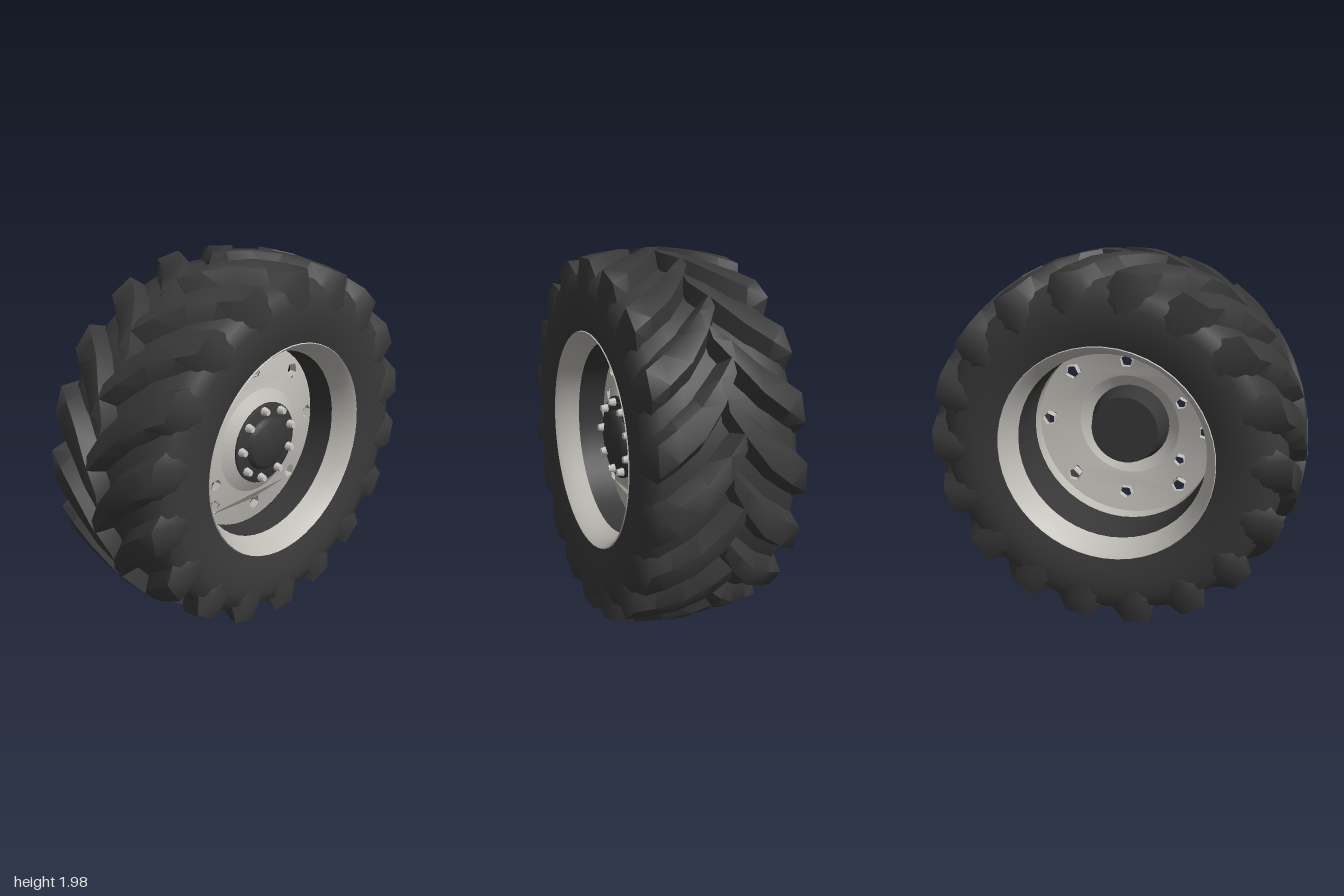
import * as THREE from 'three';
import { toCreasedNormals } from 'three/addons/utils/BufferGeometryUtils.js';

const material = (name, color) => {
  const m = new THREE.MeshStandardMaterial({ color, side: THREE.DoubleSide });
  m.name = name;
  return m;
};

const LUGS = 18;

// One tread lug: sections run from the tread centre out over the shoulder.
// Each row: x top, r top, x base, r base, angle, half width top, half width base
const LUG_SECTIONS = [
  [-0.035, 0.988, -0.035, 0.89, 0.03, 0.04, 0.09],
  [0.05, 0.99, 0.05, 0.89, -0.09, 0.06, 0.13],
  [0.16, 0.98, 0.16, 0.885, -0.22, 0.07, 0.145],
  [0.28, 0.963, 0.27, 0.87, -0.31, 0.074, 0.15],
  [0.37, 0.945, 0.345, 0.84, -0.37, 0.074, 0.15],
  [0.397, 0.82, 0.375, 0.79, -0.385, 0.055, 0.125],
  [0.386, 0.7, 0.37, 0.7, -0.39, 0.03, 0.06],
];

function treadGeometry() {
  const pos = [], index = [];
  for (const side of [1, -1]) {
    for (let n = 0; n < LUGS; n++) {
      const start = pos.length / 3;
      const turn = ((n + (side < 0 ? 0.5 : 0)) / LUGS) * Math.PI * 2;
      const tri = (a, b, c) => side > 0
        ? index.push(start + a, start + b, start + c)
        : index.push(start + a, start + c, start + b);
      for (const [xt, rt, xb, rb, angle, wt, wb] of LUG_SECTIONS) {
        for (const [x, r, w] of [[xb, rb, -wb], [xt, rt, -wt], [xt, rt, wt], [xb, rb, wb]]) {
          const a = turn + angle + w;
          pos.push(side * x, r * Math.cos(a), r * Math.sin(a));
        }
      }
      for (let i = 0; i < LUG_SECTIONS.length - 1; i++) {
        for (let k = 0; k < 4; k++) {
          const a = i * 4 + k, b = i * 4 + (k + 1) % 4;
          tri(a, b, b + 4);
          tri(a, b + 4, a + 4);
        }
      }
      const e = (LUG_SECTIONS.length - 1) * 4;
      tri(0, 3, 2); tri(0, 2, 1);
      tri(e, e + 1, e + 2); tri(e, e + 2, e + 3);
    }
  }
  const g = new THREE.BufferGeometry();
  g.setAttribute('position', new THREE.Float32BufferAttribute(pos, 3));
  g.setIndex(index);
  return toCreasedNormals(g, 1.1);
}

// Revolve [x, r] points about the x axis
function revolve(points, segments = 48, crease = 0.6) {
  const g = new THREE.LatheGeometry(points.map(([x, r]) => new THREE.Vector2(r, x)), segments);
  g.rotateZ(-Math.PI / 2);
  return toCreasedNormals(g, crease);
}

// Dish depth of the wheel disc at radius r
const dish = r => r > 0.3 ? 0.09 + (0.49 - r) * 0.25 : 0.1375 + (0.3 - r) * 0.65;

// Five-sided holes in the disc: -z, y, radius
const HOLES = [];
for (const s of [1, -1]) {
  HOLES.push([0, 0.385 * s, 0.04], [0.445 * s, 0.02, 0.04], [-0.302, 0.165 * s, 0.033]);
  for (const t of [1, -1]) HOLES.push([0.305 * s, 0.305 * t, 0.042]);
}
const holeAngle = (u, v) => Math.atan2(v, u);

// Outer part of the disc, pierced by the holes
function piercedDisc() {
  const shape = new THREE.Shape().absarc(0, 0, 0.503, 0, Math.PI * 2, false);
  shape.holes.push(new THREE.Path().absarc(0, 0, 0.285, 0, Math.PI * 2, true));
  for (const [u, v, r] of HOLES) {
    const corners = [];
    for (let k = 0; k < 5; k++) {
      const a = holeAngle(u, v) - k * Math.PI * 0.4;
      corners.push(new THREE.Vector2(u + r * Math.cos(a), v + r * Math.sin(a)));
    }
    shape.holes.push(new THREE.Path(corners));
  }
  const g = new THREE.ShapeGeometry(shape, 24);
  const p = g.attributes.position;
  for (let i = 0; i < p.count; i++) {
    const u = p.getX(i), v = p.getY(i), r = Math.hypot(u, v);
    p.setZ(i, dish(r));
    const n = new THREE.Vector3(0.25 * u / r, 0.25 * v / r, 1).normalize();
    g.attributes.normal.setXYZ(i, n.x, n.y, n.z);
  }
  return g.rotateY(Math.PI / 2);
}

export function createModel() {
  const rubber = material('black rubber', 0x393939);
  const paint = material('light grey paint', 0xbfbcb6);
  const iron = material('dark iron', 0x373737);
  const steel = material('bright steel', 0xcbc9c5);

  const wheel = new THREE.Group();
  wheel.name = 'tractorWheel';
  wheel.position.y = 1;
  const add = (name, geometry, mat, parent = wheel) => {
    const mesh = new THREE.Mesh(geometry, mat);
    mesh.name = name;
    parent.add(mesh);
    return mesh;
  };

  // Tyre body and chevron tread
  const half = [[0.36, 0.572], [0.378, 0.63], [0.391, 0.71], [0.39, 0.78], [0.37, 0.85], [0.325, 0.887], [0.2, 0.905]];
  const body = [...half.map(([x, r]) => [-x, r]), ...half.slice().reverse()];
  add('tyreBody', revolve(body, 72, 1), rubber);
  add('treadLugs', treadGeometry(), rubber);

  // Rim lips on both sides, with the dark barrel between
  for (const s of [1, -1]) {
    const lip = [[0.355, 0.58], [0.366, 0.572], [0.35, 0.558], [0.29, 0.53], [0.24, 0.508]];
    add(s > 0 ? 'outerRimLip' : 'innerRimLip', revolve(lip.map(([x, r]) => [s * x, r]), 48, 1), paint);
  }
  add('rimBarrel', revolve([[0.24, 0.508], [0.2, 0.505], [-0.2, 0.505], [-0.24, 0.508]], 48, 1), iron);

  // Dished disc with its mounting flange
  add('discFlange', revolve([[0.087, 0.503], [0, 0.5]], 48), paint);
  add('piercedDisc', piercedDisc(), paint);
  add('discCentre', revolve([[dish(0.285), 0.287], [dish(0.25), 0.25], [0.19, 0.215]], 48, 1), paint);

  // Pressed collars lining the holes
  const collars = new THREE.Group();
  collars.name = 'holeCollars';
  wheel.add(collars);
  for (const [u, v, r] of HOLES) {
    const collar = new THREE.CylinderGeometry(r, r * 0.9, 0.04, 5, 1, true);
    collar.rotateX(Math.PI / 2).rotateZ(holeAngle(u, v) + Math.PI / 2);
    collar.rotateY(Math.PI / 2);
    add('holeCollar', toCreasedNormals(collar, 0.5), paint, collars)
      .position.set(dish(Math.hypot(u, v)) - 0.018, v, -u);
  }

  // Hub plate and cap
  add('hubPlate', revolve([[0.05, 0], [0.05, 0.19], [0.17, 0.222], [0.196, 0.222], [0.2, 0.215], [0.2, 0]], 32), iron);
  add('hubCap', revolve([[0.19, 0.148], [0.215, 0.142], [0.23, 0.12], [0.234, 0]], 24, 1), iron);

  // Ring of wheel bolts
  const bolts = new THREE.Group();
  bolts.name = 'wheelBolts';
  wheel.add(bolts);
  const boltGeometry = new THREE.CylinderGeometry(0.017, 0.025, 0.04, 6).rotateZ(-Math.PI / 2);
  for (let i = 0; i < 9; i++) {
    const a = (i / 9) * Math.PI * 2 + 0.12;
    add('bolt', boltGeometry, steel, bolts).position.set(0.216, 0.19 * Math.cos(a), 0.19 * Math.sin(a));
  }

  const model = new THREE.Group();
  model.name = 'wheelModel';
  model.add(wheel);
  return model;
}
